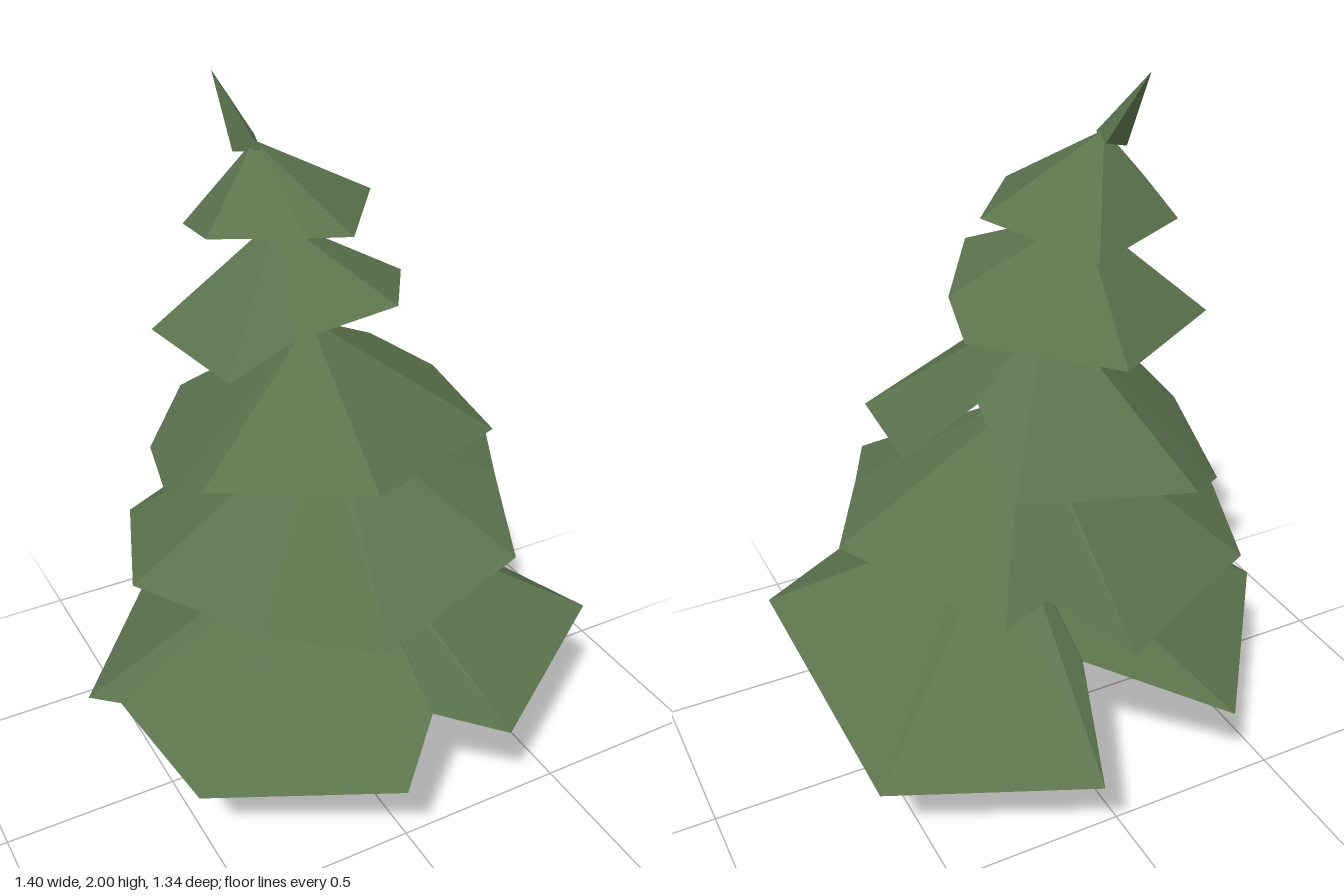
import * as THREE from 'three';

const needles = new THREE.MeshStandardMaterial({ color: 0x5b734d, side: THREE.DoubleSide });
needles.name = 'needle green';
const bark = new THREE.MeshStandardMaterial({ color: 0x70504a });
bark.name = 'bark brown';

// Faceted surface through a stack of closed rings, all with the same number of points
function loft(name, rings, material, capBottom = false) {
  const pos = [];
  const tri = (...pts) => pts.forEach((p) => pos.push(...p));
  const n = rings[0].length;
  for (let r = 0; r + 1 < rings.length; r++) {
    const up = rings[r], low = rings[r + 1];
    for (let i = 0; i < n; i++) {
      const j = (i + 1) % n;
      tri(up[i], low[i], low[j]);
      if (up[i] !== up[j]) tri(up[i], low[j], up[j]); // skipped at a pointed tip
    }
  }
  if (capBottom) {
    const b = rings[rings.length - 1];
    for (let i = 1; i + 1 < n; i++) tri(b[0], b[i + 1], b[i]);
  }
  const geo = new THREE.BufferGeometry();
  geo.setAttribute('position', new THREE.Float32BufferAttribute(pos, 3));
  geo.computeVertexNormals();
  const mesh = new THREE.Mesh(geo, material);
  mesh.name = name;
  return mesh;
}

// Open, ragged skirt of branches: a tip, an optional flat shoulder, and a rim
function skirt(name, { apex, rim, shoulder }) {
  const rings = [rim.map(() => apex)];
  if (shoulder) {
    const [t, drop] = shoulder;
    rings.push(rim.map((p) => [
      apex[0] + (p[0] - apex[0]) * t, apex[1] - drop, apex[2] + (p[2] - apex[2]) * t,
    ]));
  }
  rings.push(rim);
  return loft(name, rings, needles);
}

// Rims run front, left, back, right
const tiers = [
  {
    apex: [0.09, 0.735, -0.02], shoulder: [0.13, 0.015],
    rim: [[-0.11, 0.355, 0.67], [0.035, 0.467, 0.55], [0.22, 0.4, 0.65], [0.7, 0.435, 0.33],
      [0.65, 0.275, -0.4], [0.14, 0.31, -0.67], [0.05, 0.48, -0.38], [-0.31, 0.318, -0.59],
      [-0.7, 0.343, -0.08], [-0.64, 0.375, 0.02], [-0.56, 0.276, 0.36]],
  },
  {
    apex: [0.04, 1.1, -0.01], shoulder: [0.1, 0.02],
    rim: [[-0.1, 0.71, 0.54], [0.345, 0.8, 0.445], [0.47, 0.87, 0.155], [0.62, 0.87, -0.13],
      [0.36, 0.8, -0.55], [0.22, 0.815, -0.5], [0.055, 0.695, -0.655], [-0.42, 0.695, -0.41],
      [-0.56, 0.715, -0.03], [-0.38, 0.775, 0.4]],
  },
  {
    apex: [-0.02, 1.38, -0.03],
    rim: [[-0.075, 1.115, 0.44], [0.405, 1.063, 0.22], [0.44, 1.085, -0.14], [0.25, 1.215, -0.18],
      [0.27, 1.06, -0.43], [-0.2, 1.01, -0.505], [-0.365, 0.925, -0.35], [-0.46, 0.97, 0.02],
      [-0.405, 1.045, 0.115]],
  },
  {
    apex: [-0.07, 1.64, -0.115],
    rim: [[-0.18, 1.455, 0.2], [0.1, 1.49, 0.21], [0.265, 1.455, -0.05], [0.285, 1.39, -0.19],
      [-0.03, 1.352, -0.43], [-0.385, 1.355, -0.22], [-0.33, 1.347, 0.135]],
  },
  {
    apex: [-0.12, 1.845, -0.13],
    rim: [[-0.11, 1.675, 0.12], [0.01, 1.665, 0.145], [0.205, 1.67, -0.115], [0.03, 1.62, -0.385],
      [-0.28, 1.625, -0.225], [-0.31, 1.665, -0.01]],
  },
];

export function createModel() {
  const tree = new THREE.Group();
  tree.name = 'pineTree';

  tiers.forEach((tier, i) => tree.add(skirt(`branchTier${i + 1}`, tier)));

  // Bent spike at the very top
  const tip = [-0.18, 2, -0.235];
  tree.add(loft('topSpike', [
    [tip, tip, tip],
    [[-0.12, 1.83, -0.09], [-0.085, 1.835, -0.2], [-0.16, 1.81, -0.17]],
  ], needles));

  // Crooked three-sided trunk: centre x, y, z and scale of each section, top first
  const section = [[-0.1, 0.15], [0.17, 0], [-0.07, -0.15]];
  const sections = [
    [-0.1, 1.78, -0.13, 0.08], [-0.08, 1.64, -0.115, 0.15], [-0.03, 1.4, -0.07, 0.24],
    [0.025, 1.08, -0.01, 0.33], [0.06, 0.75, 0.025, 0.42], [-0.02, 0, -0.085, 1],
  ];
  tree.add(loft('trunk', sections.map(([x, y, z, s]) =>
    section.map(([dx, dz]) => [x + dx * s, y, z + dz * s])), bark, true));

  return tree;
}
